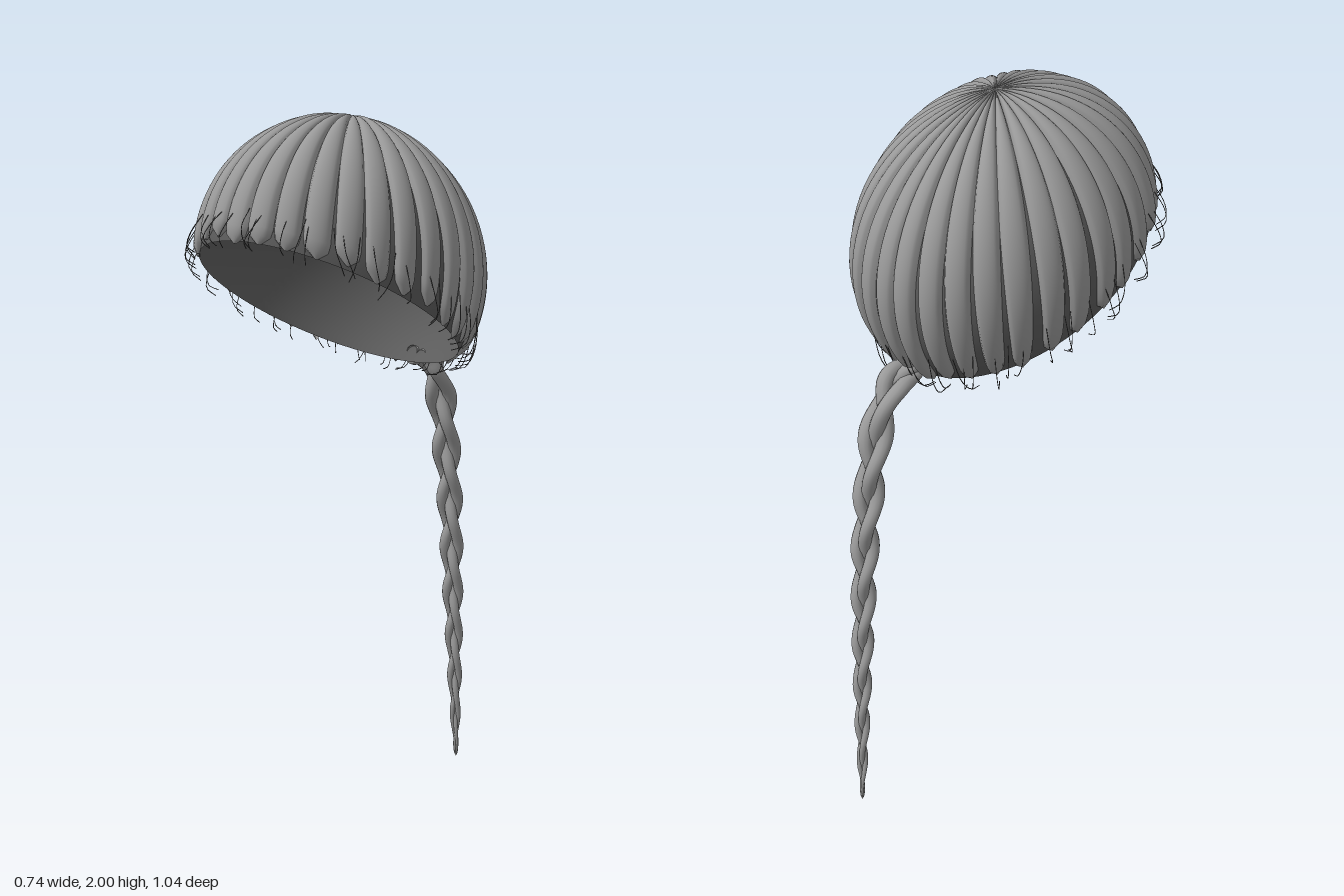
import * as THREE from 'three';

const hair = new THREE.MeshStandardMaterial({ color: 0x999999, side: THREE.DoubleSide });
hair.name = 'hair grey';
const dark = new THREE.MeshStandardMaterial({ color: 0x5c5c5c, side: THREE.DoubleSide });
dark.name = 'scalp dark grey';

let seed = 7;
const rand = () => (seed = (seed * 16807) % 2147483647) / 2147483647;

// Grid surface from fn(u, v) -> Vector3; wrap joins the v edges smoothly
function loft(rows, cols, fn, wrap = false) {
  const pos = [], idx = [], n = wrap ? cols : cols + 1;
  for (let i = 0; i <= rows; i++) {
    for (let j = 0; j < n; j++) pos.push(...fn(i / rows, j / cols).toArray());
  }
  for (let i = 0; i < rows; i++) {
    for (let j = 0; j < cols; j++) {
      const k = (j + 1) % n;
      const a = i * n + j, b = i * n + k, c = a + n, d = b + n;
      idx.push(a, c, b, b, c, d);
    }
  }
  const g = new THREE.BufferGeometry();
  g.setAttribute('position', new THREE.Float32BufferAttribute(pos, 3));
  g.setIndex(idx);
  g.computeVertexNormals();
  return g;
}

// Point on the head dome: azimuth (0 = front), angle from the crown, scale
const TILT = 0.21;
function dome(az, theta, scale = 1) {
  const x = Math.sin(theta) * Math.sin(az);
  const y0 = Math.cos(theta), z0 = Math.sin(theta) * Math.cos(az);
  const y = y0 * Math.cos(TILT) + z0 * Math.sin(TILT);
  const z = z0 * Math.cos(TILT) - y0 * Math.sin(TILT);
  return new THREE.Vector3(0.355 * x * scale, 1.6 + 0.4 * y * scale, 0.06 + 0.05 * y + 0.435 * z * scale);
}

// Angle at which a meridian meets the sloping hairline
function rimAngle(az) {
  let lo = 0.3, hi = 2.9;
  for (let i = 0; i < 24; i++) {
    const mid = (lo + hi) / 2, p = dome(az, mid);
    if (p.y > 1.44 + 0.54 * p.z) lo = mid; else hi = mid;
  }
  return lo;
}

export function createModel() {
  const model = new THREE.Group();
  model.name = 'braidedHair';
  const add = (geo, mat, name, parent = model) => {
    const m = new THREE.Mesh(geo, mat);
    m.name = name;
    parent.add(m);
    return m;
  };
  const group = (name) => {
    const g = new THREE.Group();
    g.name = name;
    model.add(g);
    return g;
  };

  // Open scalp cap
  add(loft(32, 96, (u, v) => {
    const az = v * Math.PI * 2;
    return dome(az, Math.max(0.002, u * rimAngle(az)), 0.952);
  }, true), dark, 'scalpCap');

  // Raised locks radiating from the crown to the hairline
  const locks = group('locks');
  const COUNT = 32, STEP = Math.PI * 2 / COUNT;
  for (let k = 0; k < COUNT; k++) {
    const centre = k * STEP + (rand() - 0.5) * 0.03;
    const front = Math.max(0, Math.cos(centre)) ** 2;
    const length = 0.975 + rand() * 0.04;
    const height = 0.042 + rand() * 0.008;
    add(loft(28, 10, (u, v) => {
      const w = v * 2 - 1;
      const end = u > 0.93 ? Math.sqrt(Math.max(0.01, 1 - ((u - 0.93) / 0.07) ** 2)) : 1;
      const wide = THREE.MathUtils.lerp(0.6, 0.33 + 0.17 * front, u ** 1.3) * end;
      const az = centre + w * wide * STEP;
      const lift = height * Math.sqrt(Math.max(0, 1 - w * w)) * (0.3 + 0.7 * end);
      return dome(az, Math.max(0.004, u * rimAngle(az) * length), 0.954 + lift);
    }), hair, 'lock', locks);
  }

  // Braid: three tapering strands woven along a hanging path
  const braid = group('braid');
  const path = new THREE.CatmullRomCurve3([
    [1.33, -0.27], [1.315, -0.335], [1.22, -0.395], [0.95, -0.45], [0.55, -0.487], [0.0, -0.52],
  ].map(([y, z]) => new THREE.Vector3(0, y, z)));
  const strandPoint = (phase) => (u, v) => {
    const p = path.getPointAt(u), t = path.getTangentAt(u);
    const ny = -t.z, nz = t.y;
    const w = 0.05 * Math.sqrt(1 - u) * Math.min(1, 0.75 + u * 4) + 0.001;
    const f = Math.PI * 2 * (2.6 * u + 0.5 * u * u) + phase;
    const a = v * Math.PI * 2;
    const x = w * (0.56 * Math.cos(f) + 0.46 * Math.cos(a));
    const d = w * (0.32 * Math.sin(2 * f) + 0.42 * Math.sin(a));
    return new THREE.Vector3(x, p.y + ny * d, p.z + nz * d);
  };
  for (let k = 0; k < 3; k++) {
    add(loft(150, 12, strandPoint(k * Math.PI * 2 / 3), true), hair, 'braidStrand', braid);
  }

  // Fine stray hairs curling out along the hairline
  const strays = group('strayHairs');
  for (let k = 0; k < 60; k++) {
    const az = (k + rand()) * Math.PI * 2 / 60;
    const rim = rimAngle(az), turn = (rand() - 0.5) * 0.2, out = 0.02 + rand() * 0.05;
    const curve = new THREE.CatmullRomCurve3([
      dome(az, rim * 0.86, 0.98),
      dome(az + turn * 0.3, rim * 0.95, 1 + out * 0.8),
      dome(az + turn * 0.7, rim * 1.0, 1 + out),
      dome(az + turn, rim * (1.02 + rand() * 0.02), 0.97 + out * 0.4),
    ]);
    add(new THREE.TubeGeometry(curve, 10, 0.0013, 4), dark, 'strayHair', strays);
  }
  return model;
}
